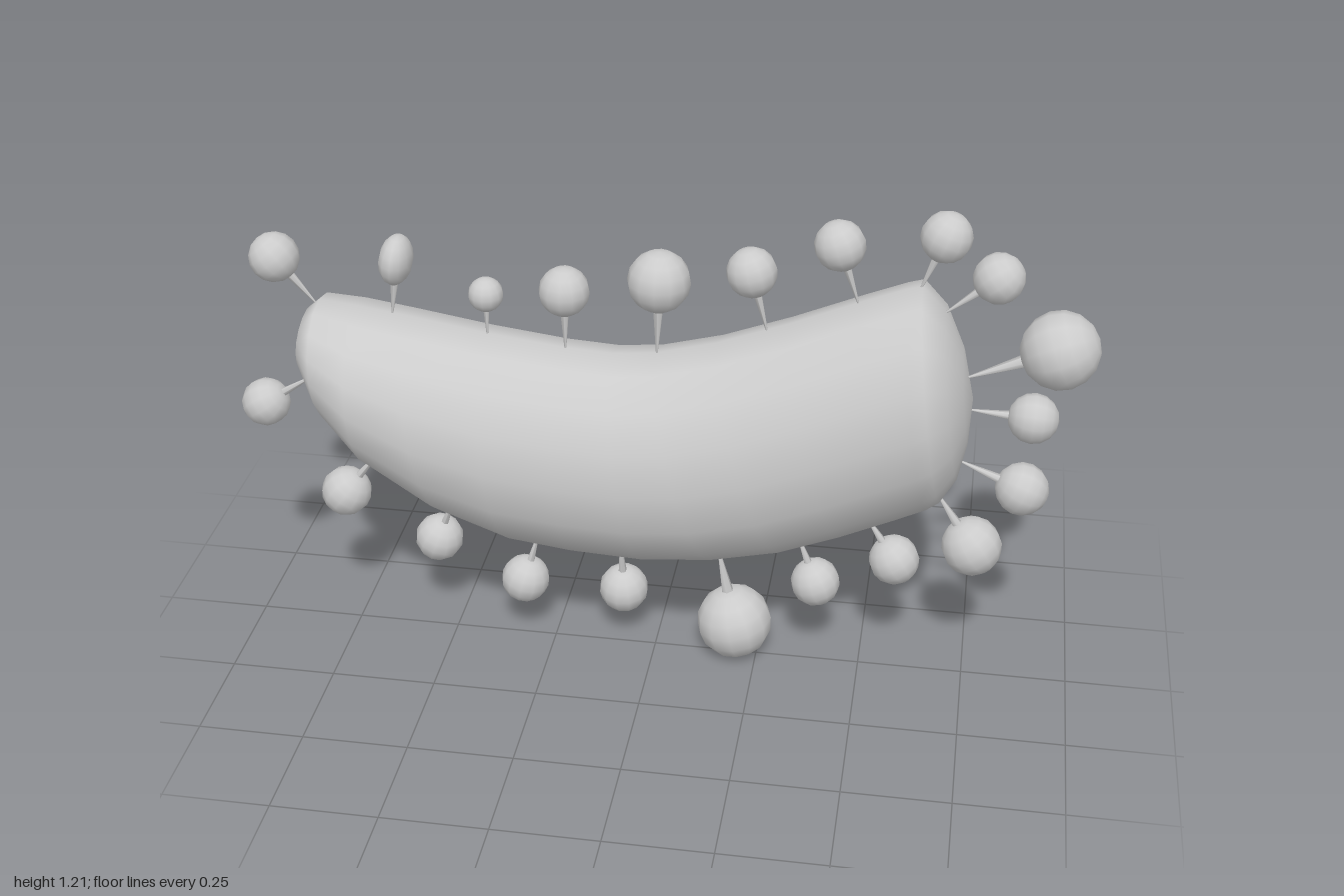
import * as THREE from 'three';
import { mergeVertices } from 'three/addons/utils/BufferGeometryUtils.js';

const material = new THREE.MeshStandardMaterial({ color: 0xcccccc });
const SIDES = 16;

// Curved body: each section is [top x, top y, bottom x, bottom y, half width]
const sections = [
  [-0.84, 0.79, -0.84, 0.79, 0],
  [-0.823, 0.86, -0.833, 0.72, 0.09],
  [-0.79, 0.89, -0.775, 0.6, 0.15],
  [-0.7, 0.88, -0.68, 0.49, 0.19],
  [-0.58, 0.863, -0.5, 0.367, 0.203],
  [-0.4, 0.834, -0.34, 0.307, 0.21],
  [-0.22, 0.812, -0.19, 0.288, 0.21],
  [-0.1, 0.805, -0.02, 0.28, 0.21],
  [0, 0.815, 0.15, 0.296, 0.21],
  [0.14, 0.852, 0.31, 0.333, 0.21],
  [0.3, 0.912, 0.45, 0.39, 0.21],
  [0.46, 0.98, 0.57, 0.447, 0.21],
  [0.56, 1.02, 0.64, 0.482, 0.21],
  [0.595, 1.03, 0.67, 0.505, 0.208],
  [0.65, 0.975, 0.705, 0.565, 0.165],
  [0.695, 0.88, 0.722, 0.65, 0.09],
  [0.725, 0.76, 0.725, 0.76, 0],
];

// Elliptical rings joined along the body; the first and last rings are poles
function bodyGeometry() {
  const positions = [];
  const index = [];
  const last = sections.length - 1;
  sections.forEach(([tx, ty, bx, by, w], i) => {
    for (let j = 0; j < SIDES; j++) {
      const a = (j / SIDES) * Math.PI * 2;
      const c = Math.cos(a);
      positions.push(
        (tx + bx) / 2 + ((tx - bx) / 2) * c,
        (ty + by) / 2 + ((ty - by) / 2) * c,
        w * Math.sin(a)
      );
      const p = i * SIDES + j;
      const q = i * SIDES + ((j + 1) % SIDES);
      if (i > 0 && i < last) index.push(p, q, p + SIDES);
      if (i < last - 1) index.push(q, q + SIDES, p + SIDES);
    }
  });
  const rings = new THREE.BufferGeometry();
  rings.setAttribute('position', new THREE.Float32BufferAttribute(positions, 3));
  rings.setIndex(index);
  const geometry = mergeVertices(rings);
  geometry.computeVertexNormals();
  return geometry;
}

// Pins: [ball x, ball y, ball radius, tip x, tip y, z offset, flattening]
const pins = [
  [-0.89, 0.99, 0.059, -0.8, 0.88],
  [-0.6, 1.005, 0.06, -0.617, 0.865, 0, 0.65],
  [-0.393, 0.933, 0.041, -0.393, 0.83],
  [-0.21, 0.955, 0.059, -0.21, 0.805],
  [0.008, 0.997, 0.073, 0.003, 0.81],
  [0.217, 1.035, 0.058, 0.255, 0.89],
  [0.41, 1.115, 0.058, 0.457, 0.975],
  [0.64, 1.152, 0.058, 0.59, 1.02],
  [0.76, 1.062, 0.058, 0.65, 0.97],
  [0.907, 0.897, 0.09, 0.705, 0.81],
  [0.863, 0.72, 0.058, 0.72, 0.73],
  [0.853, 0.533, 0.062, 0.705, 0.595],
  [0.75, 0.367, 0.071, 0.66, 0.505],
  [0.572, 0.31, 0.06, 0.5, 0.425],
  [0.388, 0.228, 0.059, 0.342, 0.355],
  [0.195, 0.093, 0.091, 0.152, 0.3],
  [-0.083, 0.142, 0.06, -0.085, 0.29, -0.028],
  [-0.323, 0.163, 0.059, -0.286, 0.3],
  [-0.543, 0.243, 0.059, -0.495, 0.375, -0.028],
  [-0.762, 0.372, 0.061, -0.672, 0.49],
  [-0.944, 0.604, 0.058, -0.82, 0.685],
];

// Round-headed pin whose stem narrows to a point in the body
function createPin([x, y, r, tipX, tipY, z = 0, flat = 1]) {
  const pin = new THREE.Group();
  pin.name = 'pin';
  const head = new THREE.Vector3(x, y, z);
  const dir = head.clone().sub(new THREE.Vector3(tipX, tipY, 0));
  const length = dir.length();
  pin.position.copy(head);
  pin.quaternion.setFromUnitVectors(new THREE.Vector3(0, 1, 0), dir.normalize());

  const ball = new THREE.Mesh(new THREE.SphereGeometry(r, 12, 8), material);
  ball.name = 'pinHead';
  ball.scale.x = flat;

  const stem = new THREE.Mesh(new THREE.CylinderGeometry(r * 0.25, 0.002, length, 6), material);
  stem.name = 'pinStem';
  stem.position.y = -length / 2;
  pin.add(ball, stem);
  return pin;
}

export function createModel() {
  const model = new THREE.Group();
  model.name = 'pinnedCurvedBody';
  const body = new THREE.Mesh(bodyGeometry(), material);
  body.name = 'body';
  model.add(body);
  for (const spec of pins) model.add(createPin(spec));
  return model;
}
